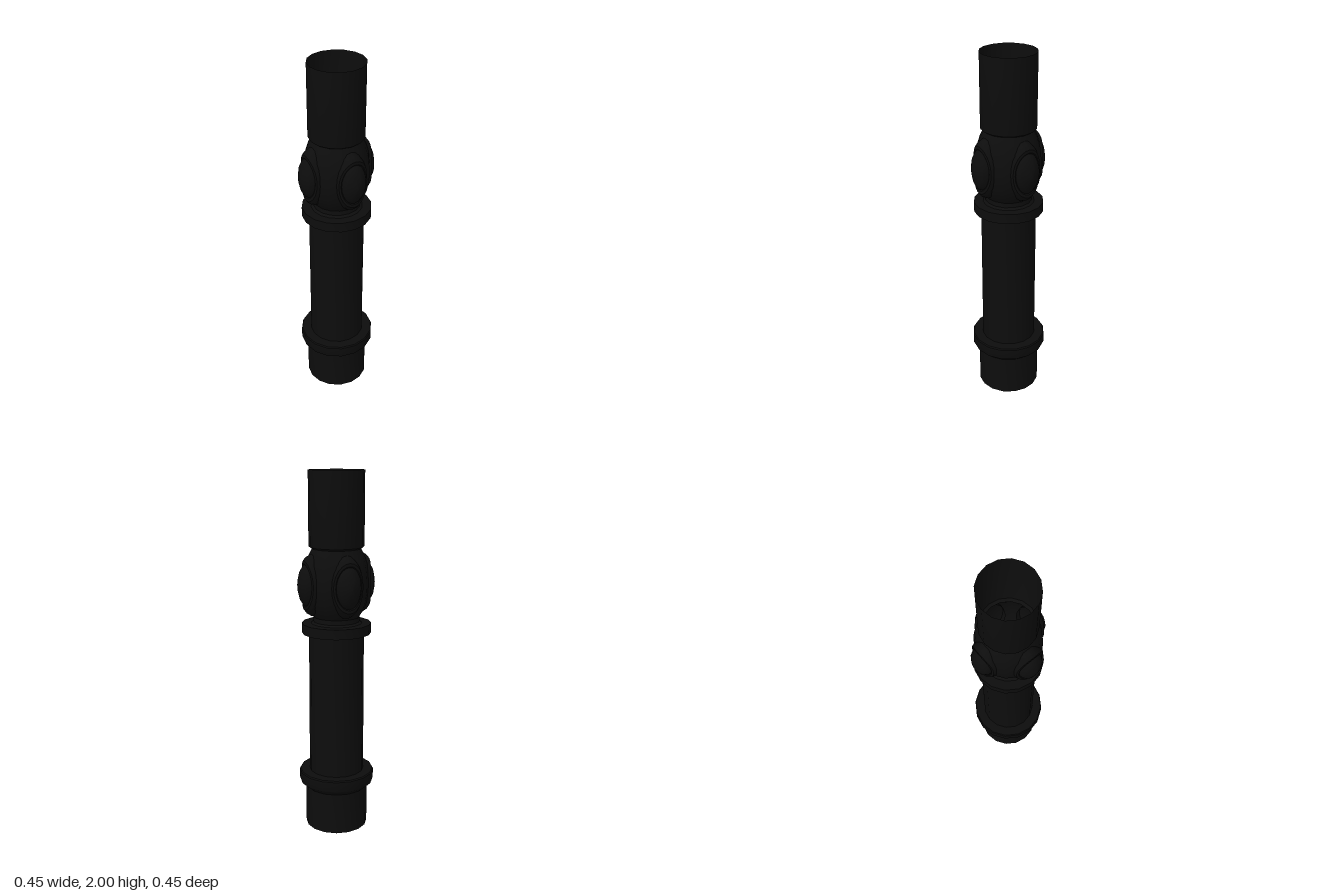
import * as THREE from 'three';
import { toCreasedNormals } from 'three/addons/utils/BufferGeometryUtils.js';

const SIDES = 16;
const black = new THREE.MeshStandardMaterial({ color: 0x0d0d0d, side: THREE.DoubleSide });

// Open turned shell from [radius, height] pairs, bottom to top
function turned(name, profile) {
  const points = profile.map(([r, y]) => new THREE.Vector2(r, y));
  const mesh = new THREE.Mesh(toCreasedNormals(new THREE.LatheGeometry(points, SIDES), 0.6), black);
  mesh.name = name;
  return mesh;
}

// Oval pad with a raised pointed dome, wrapped around the bulb and facing +z
function ovalBoss() {
  const halfWidth = 0.095, halfHeight = 0.14, wrapRadius = 0.19;
  const profile = [
    [1.2, 0.145], [1.08, 0.173], [0.95, 0.186], [0.83, 0.186],
    [0.79, 0.182], [0.74, 0.19], [0.58, 0.205], [0.3, 0.216], [0, 0.225],
  ].map(([r, h]) => new THREE.Vector2(r, h));
  const geometry = new THREE.LatheGeometry(profile, 24).rotateX(Math.PI / 2);
  const p = geometry.attributes.position;
  for (let i = 0; i < p.count; i++) {
    const angle = p.getX(i) * halfWidth / wrapRadius;
    const radius = p.getZ(i);
    p.setXYZ(i, Math.sin(angle) * radius, p.getY(i) * halfHeight, Math.cos(angle) * radius);
  }
  return toCreasedNormals(geometry, 0.5);
}

export function createModel() {
  const model = new THREE.Group();
  model.name = 'pipe';

  model.add(
    turned('baseSocket', [[0.175, 0], [0.175, 0.235]]),
    turned('baseCollar', [[0.175, 0.235], [0.206, 0.262], [0.21, 0.27], [0.21, 0.325], [0.205, 0.332], [0.153, 0.332]]),
    turned('lowerTube', [[0.153, 0.332], [0.151, 1.13]]),
    turned('middleCollar', [[0.151, 1.13], [0.19, 1.13], [0.19, 1.185], [0.14, 1.185], [0.127, 1.195]]),
    turned('bulb', [
      [0.127, 1.195], [0.125, 1.22], [0.145, 1.25], [0.165, 1.3], [0.175, 1.36], [0.177, 1.4],
      [0.175, 1.44], [0.168, 1.5], [0.152, 1.55], [0.132, 1.59],
    ]),
    turned('upperTube', [[0.132, 1.59], [0.148, 1.6], [0.15, 1.61], [0.15, 2]]),
  );

  // Four bosses around the bulb
  const bossGeometry = ovalBoss();
  for (let i = 0; i < 4; i++) {
    const boss = new THREE.Mesh(bossGeometry, black);
    boss.name = 'ovalBoss' + (i + 1);
    boss.position.y = 1.4;
    boss.rotation.y = i * Math.PI / 2;
    model.add(boss);
  }
  return model;
}
